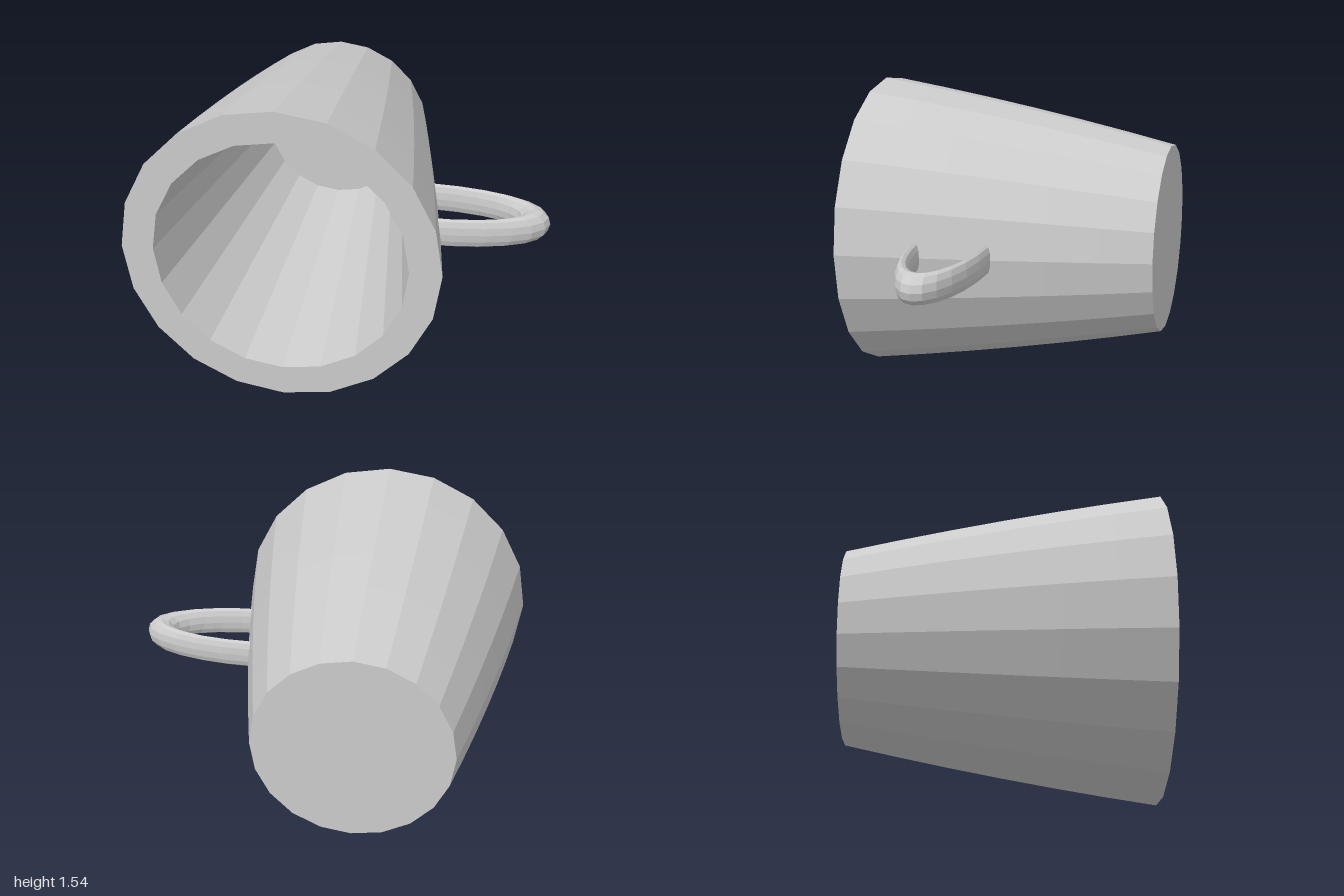
import * as THREE from 'three';

export function createModel() {
  const model = new THREE.Group();
  const material = new THREE.MeshStandardMaterial({ color: 0xcccccc, flatShading: true });

  // Hollow cup lying on its side: profile runs from the base, along the
  // slightly bowed outer wall, over the flat rim and back down inside.
  const profile = [[0, -0.77]];
  const steps = 6;
  for (let i = 0; i <= steps; i++) {
    const t = i / steps;
    profile.push([0.485 + 0.285 * t + 0.06 * t * (1 - t), -0.77 + 1.54 * t]);
  }
  profile.push([0.615, 0.77], [0.39, -0.65], [0, -0.65]);
  const cupGeometry = new THREE.LatheGeometry(profile.map(([r, y]) => new THREE.Vector2(r, y)), 20);
  cupGeometry.rotateX(Math.PI / 2);
  const cup = new THREE.Mesh(cupGeometry, material);
  cup.name = 'cup';
  cup.position.set(-0.232, 0.77, 0);
  model.add(cup);

  // Handle: half ring stretched outward and in height, ends sunk in the wall
  const handleGeometry = new THREE.TorusGeometry(0.175, 0.025, 12, 12, Math.PI);
  handleGeometry.rotateZ(-Math.PI / 2);
  handleGeometry.rotateX(Math.PI / 2);
  handleGeometry.scale(3.025, 3.025, 1);
  const handleMaterial = material.clone();
  handleMaterial.side = THREE.DoubleSide;
  const handle = new THREE.Mesh(handleGeometry, handleMaterial);
  handle.name = 'handle';
  handle.position.set(0.395, 0.77, 0.2);
  model.add(handle);

  return model;
}
